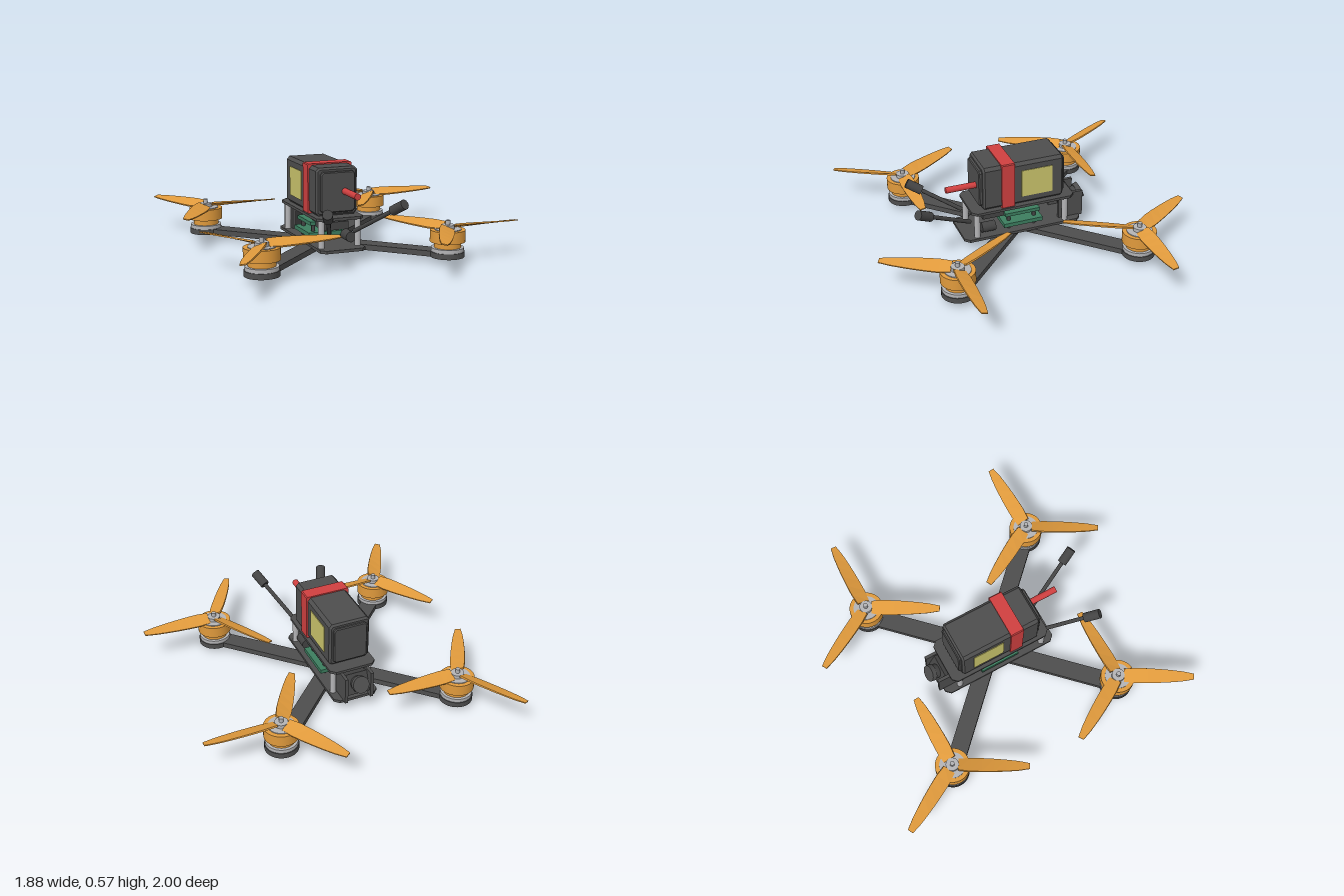
import * as THREE from 'three';

const mat = (name, color, opts = {}) => {
  const m = new THREE.MeshStandardMaterial({ color, ...opts });
  m.name = name;
  return m;
};

export function createModel() {
  const carbon = mat('carbon', 0x4e4e4e);
  const rubber = mat('dark plastic', 0x444444);
  const metal = mat('metal', 0xb4b4b6);
  const orange = mat('orange', 0xe09a3c);
  const propMat = mat('propeller orange', 0xe09a3c, { flatShading: true });
  const red = mat('red', 0xd04040);
  const green = mat('board green', 0x3c7d5f);
  const yellow = mat('label yellow', 0xcbc56c);

  const root = new THREE.Group();
  root.name = 'quadcopter';
  // the frame sits off-centre because every propeller points one blade to +x
  const body = new THREE.Group();
  body.name = 'body';
  body.position.x = -0.11;
  root.add(body);

  const add = (parent, name, geo, material, x = 0, y = 0, z = 0) => {
    const m = new THREE.Mesh(geo, material);
    m.name = name;
    m.position.set(x, y, z);
    parent.add(m);
    return m;
  };
  const box = (parent, name, material, w, h, d, x, y, z) =>
    add(parent, name, new THREE.BoxGeometry(w, h, d), material, x, y, z);
  // upright cylinder from y0 to y1
  const post = (parent, name, material, r, y0, y1, x = 0, z = 0, n = 24) =>
    add(parent, name, new THREE.CylinderGeometry(r, r, y1 - y0, n), material, x, (y0 + y1) / 2, z);
  // cylinder between two points
  const rod = (parent, name, material, r, a, b, n = 16) => {
    const d = b.clone().sub(a);
    const m = add(parent, name, new THREE.CylinderGeometry(r, r, d.length(), n), material);
    m.position.copy(a).add(b).multiplyScalar(0.5);
    m.quaternion.setFromUnitVectors(new THREE.Vector3(0, 1, 0), d.normalize());
    return m;
  };
  // rectangle with cut corners
  const cutRect = (w, h, c) => {
    const x = w / 2, y = h / 2;
    return new THREE.Shape([
      [-x + c, -y], [x - c, -y], [x, -y + c], [x, y - c],
      [x - c, y], [-x + c, y], [-x, y - c], [-x, -y + c],
    ].map(p => new THREE.Vector2(...p)));
  };
  const cutBlock = (w, h, d, c, bevel = 0) => {
    const g = new THREE.ExtrudeGeometry(cutRect(w - 2 * bevel, h - 2 * bevel, c), {
      depth: d - 2 * bevel, bevelEnabled: bevel > 0, bevelSize: bevel, bevelThickness: bevel, bevelSegments: 1,
    });
    return g.translate(0, 0, -d / 2 + bevel);
  };
  const plate = (name, w, l, c, y0, y1) =>
    add(body, name, cutBlock(w, l, y1 - y0, c).rotateX(-Math.PI / 2), carbon, 0, (y0 + y1) / 2, 0);

  // twisted, tapered blade along +x
  const chords = [0.08, 0.094, 0.092, 0.086, 0.076, 0.062, 0.036];
  const bladeGeo = spin => {
    const n = chords.length - 1;
    const g = new THREE.BoxGeometry(1, 0.011, 1, n, 1, 1);
    const p = g.attributes.position;
    for (let i = 0; i < p.count; i++) {
      const t = p.getX(i) + 0.5;
      const z = p.getZ(i) * chords[Math.round(t * n)];
      const y = p.getY(i) * (1 - 0.4 * t);
      const a = -spin * (0.4 - 0.22 * t);
      p.setXYZ(i, 0.036 + 0.434 * t, y * Math.cos(a) - z * Math.sin(a), y * Math.sin(a) + z * Math.cos(a));
    }
    g.computeVertexNormals();
    return g;
  };

  // arms, motors and propellers
  for (const sx of [-1, 1]) for (const sz of [-1, 1]) {
    const arm = box(body, 'arm', carbon, 0.82, 0.034, 0.11, sx * 0.29, 0.053, sz * 0.2925);
    arm.rotation.y = -Math.atan2(sz * 0.585, sx * 0.58);
    const motor = new THREE.Group();
    motor.name = 'motor';
    motor.position.set(sx * 0.58, 0, sz * 0.585);
    body.add(motor);
    post(motor, 'motorPad', carbon, 0.103, 0.036, 0.07, 0, 0, 32);
    post(motor, 'motorBase', metal, 0.098, 0.07, 0.093, 0, 0, 32);
    post(motor, 'stator', orange, 0.08, 0.093, 0.128, 0, 0, 32);
    post(motor, 'motorBell', orange, 0.106, 0.128, 0.2, 0, 0, 32);
    post(motor, 'bellCap', metal, 0.08, 0.2, 0.205, 0, 0, 32);
    post(motor, 'propHub', metal, 0.04, 0.205, 0.228);
    post(motor, 'shaft', metal, 0.014, 0.228, 0.255, 0, 0, 12);
    const prop = new THREE.Group();
    prop.name = 'propeller';
    prop.position.y = 0.218;
    motor.add(prop);
    const geo = bladeGeo(sx * sz);
    for (let k = 0; k < 3; k++) {
      add(prop, 'blade', geo, propMat).rotation.y = k * Math.PI * 2 / 3;
    }
  }

  // frame plates, centre bolt and standoffs
  plate('bottomPlate', 0.29, 0.78, 0.03, 0.066, 0.084);
  plate('topPlate', 0.3, 0.68, 0.03, 0.25, 0.267);
  post(body, 'boltHead', rubber, 0.049, 0, 0.036);
  post(body, 'boltNut', rubber, 0.028, 0.036, 0.095, 0, 0, 6);
  for (const sx of [-1, 1]) for (const z of [-0.285, 0.305]) {
    post(body, 'standoff', metal, 0.019, 0.084, 0.25, sx * 0.117, z, 16);
  }

  // electronics stack
  box(body, 'lowerBoard', green, 0.26, 0.026, 0.26, 0, 0.127, 0);
  box(body, 'upperBoard', green, 0.23, 0.022, 0.23, 0, 0.193, 0);
  for (const sx of [-1, 1]) for (const sz of [-1, 1]) {
    post(body, 'boardPost', rubber, 0.012, 0.084, 0.182, sx * 0.085, sz * 0.085, 10);
  }
  box(body, 'receiver', rubber, 0.16, 0.05, 0.2, 0, 0.2, 0.155);
  rod(body, 'capacitor', rubber, 0.033, new THREE.Vector3(0.09, 0.127, 0.18), new THREE.Vector3(0.09, 0.127, 0.27));

  // tilted camera between two cheek plates
  for (const sx of [-1, 1]) box(body, 'cameraCheek', carbon, 0.02, 0.176, 0.165, sx * 0.085, 0.165, -0.335);
  const camera = new THREE.Group();
  camera.name = 'camera';
  camera.position.set(0, 0.165, -0.34);
  camera.rotation.x = 0.4;
  body.add(camera);
  box(camera, 'cameraBody', rubber, 0.145, 0.13, 0.1, 0, 0, 0);
  rod(camera, 'lensBarrel', rubber, 0.045, new THREE.Vector3(0, 0, -0.04), new THREE.Vector3(0, 0, -0.08), 24);
  rod(camera, 'lensRing', carbon, 0.053, new THREE.Vector3(0, 0, -0.08), new THREE.Vector3(0, 0, -0.11), 24);

  // battery with end caps, strap, labels and lead
  add(body, 'battery', cutBlock(0.266, 0.292, 0.53, 0.012, 0.012), carbon, 0, 0.414, 0);
  add(body, 'batteryEnds', cutBlock(0.22, 0.246, 0.566, 0.012, 0.006), carbon, 0, 0.413, 0.002);
  const strap = cutRect(0.284, 0.306, 0.006);
  strap.holes.push(new THREE.Path(cutRect(0.264, 0.29, 0.02).getPoints().reverse()));
  add(body, 'strap', new THREE.ExtrudeGeometry(strap, { depth: 0.085, bevelEnabled: false }), red, 0, 0.417, 0.062);
  for (const sx of [-1, 1]) box(body, 'label', yellow, 0.006, 0.182, 0.205, sx * 0.134, 0.414, -0.087);
  rod(body, 'powerLead', red, 0.02, new THREE.Vector3(0.043, 0.415, 0.27), new THREE.Vector3(0.043, 0.415, 0.48));

  // antennas
  const antenna = (base, tip) => {
    const a = new THREE.Vector3(...base), b = new THREE.Vector3(...tip);
    const neck = b.clone().lerp(a, 0.105 / a.distanceTo(b));
    rod(body, 'antennaRod', rubber, 0.013, a, neck, 10);
    rod(body, 'antennaTip', rubber, 0.03, neck, b, 16);
  };
  antenna([-0.08, 0.18, 0.34], [-0.215, 0.365, 0.655]);
  antenna([0.08, 0.18, 0.34], [0.235, 0.4, 0.71]);

  return root;
}
